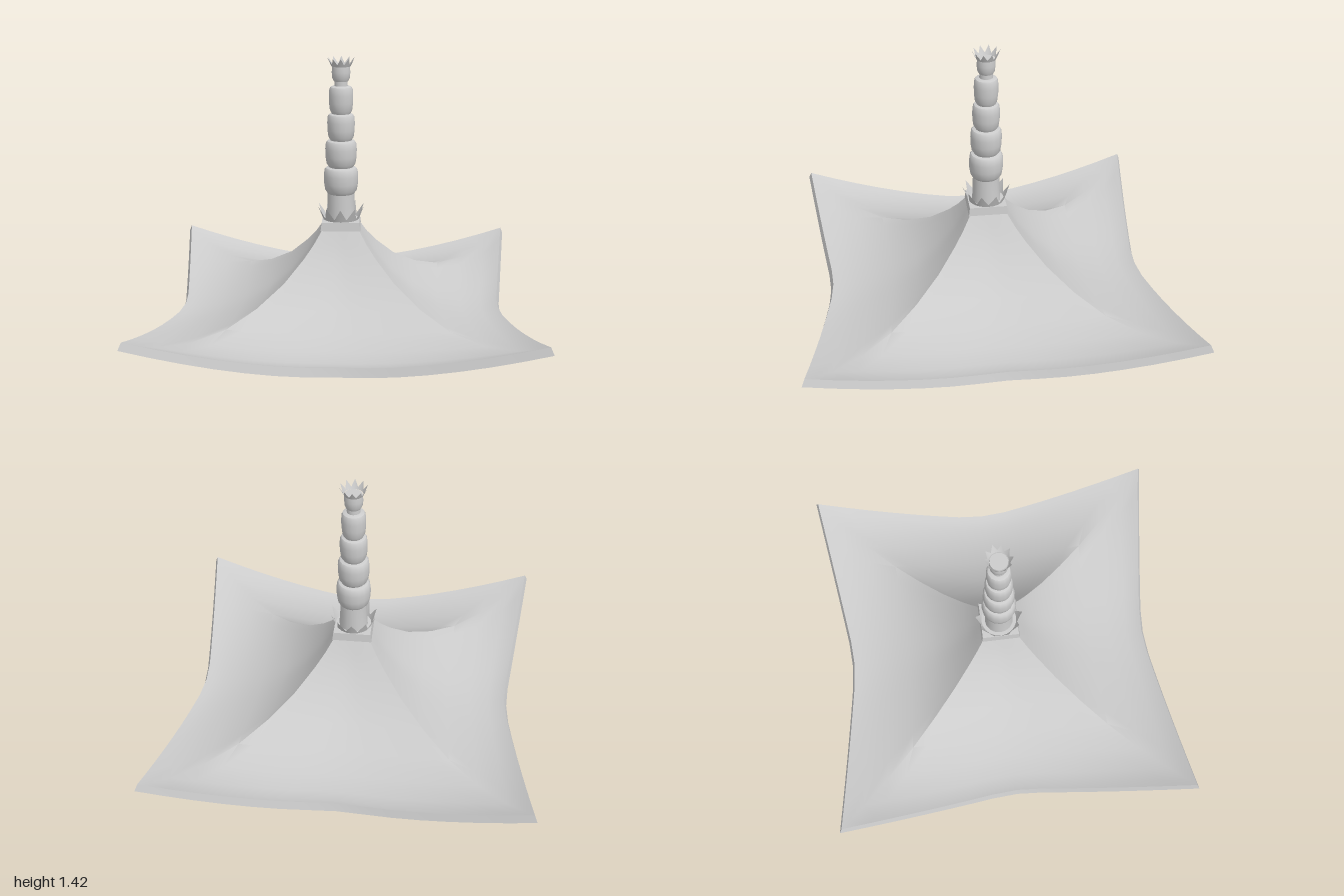
import * as THREE from 'three';
import { toCreasedNormals } from 'three/addons/utils/BufferGeometryUtils.js';

const grey = new THREE.MeshStandardMaterial({ color: 0xcccccc });
const thin = new THREE.MeshStandardMaterial({ color: 0xcccccc, side: THREE.DoubleSide });

function part(name, geometry, material = grey) {
  const mesh = new THREE.Mesh(geometry, material);
  mesh.name = name;
  return mesh;
}

function indexed(positions, index, crease) {
  const g = new THREE.BufferGeometry();
  g.setAttribute('position', new THREE.Float32BufferAttribute(positions, 3));
  g.setIndex(index);
  return toCreasedNormals(g, crease);
}

// Square rings: corner half-width, corner height, mid-side half-width, mid-side height
const top = [
  [0, 0.51, 0, 0.51], [0.1, 0.51, 0.1, 0.51], [0.14, 0.445, 0.135, 0.445],
  [0.19, 0.38, 0.18, 0.375], [0.29, 0.275, 0.27, 0.265], [0.42, 0.185, 0.39, 0.165],
  [0.56, 0.125, 0.53, 0.095], [0.72, 0.115, 0.66, 0.055], [0.86, 0.15, 0.77, 0.042],
  [0.94, 0.195, 0.83, 0.048], [0.985, 0.225, 0.86, 0.058],
];
const under = [
  [1, 0.19, 0.875, 0.015], [0.95, 0.165, 0.84, 0.006], [0.86, 0.115, 0.77, 0.005],
  [0.72, 0.08, 0.66, 0.02], [0.56, 0.09, 0.53, 0.06], [0.42, 0.15, 0.39, 0.13],
  [0.28, 0.245, 0.26, 0.235], [0.17, 0.355, 0.16, 0.35], [0.08, 0.47, 0.08, 0.47],
  [0, 0.49, 0, 0.49],
];

// Sweeping roof: every side bows inward and its corners turn up
function roofGeometry() {
  const rows = [...top, ...under], steps = 14, loop = steps * 4;
  const pos = [], index = [];
  for (const [c, yc, m, ym] of rows) {
    for (let k = 0; k < 4; k++) {
      for (let j = 0; j < steps; j++) {
        const t = -1 + 2 * j / steps;
        const w = Math.max(0, (Math.abs(t) - 0.07) / 0.93);
        let x = t * c, z = m + (c - m) * w;
        for (let q = 0; q < k; q++) [x, z] = [z, -x];
        pos.push(x, ym + (yc - ym) * Math.pow(w, 1.6), z);
      }
    }
  }
  for (let i = 0; i < rows.length - 1; i++) {
    for (let j = 0; j < loop; j++) {
      const n = (j + 1) % loop;
      const a = i * loop + j, b = a + loop, c = (i + 1) * loop + n, d = i * loop + n;
      index.push(a, b, c, a, c, d);
    }
  }
  return indexed(pos, index, 0.7);
}

// Flared ring of pointed leaves
function crownGeometry(r0, r1, y0, yValley, yTip, count = 10) {
  const pos = [], index = [], n = count * 2;
  for (let i = 0; i < n; i++) {
    const a = i * Math.PI * 2 / n, tip = i % 2 === 0;
    const y = tip ? yTip : yValley;
    const r = r0 + (r1 - r0) * (y - y0) / (yTip - y0);
    pos.push(r0 * Math.sin(a), y0, r0 * Math.cos(a), r * Math.sin(a), y, r * Math.cos(a));
    const b = 2 * i, d = 2 * ((i + 1) % n);
    index.push(b, d, d + 1, b, d + 1, b + 1);
  }
  return indexed(pos, index, 0.7);
}

function lathe(points, sides = 16) {
  const g = new THREE.LatheGeometry(points.map(p => new THREE.Vector2(...p)), sides);
  return toCreasedNormals(g, 0.65);
}

export function createModel() {
  const model = new THREE.Group();
  model.name = 'roofWithSpire';
  model.add(part('roof', roofGeometry()));

  // Square collar with a chamfered upper edge
  const collar = new THREE.CylinderGeometry(0.1 * Math.SQRT2, 0.106 * Math.SQRT2, 0.045, 4, 1);
  collar.rotateY(Math.PI / 4).translate(0, 0.5325, 0);
  model.add(part('collar', toCreasedNormals(collar, 0.5)));
  model.add(part('lowerCrown', crownGeometry(0.095, 0.128, 0.55, 0.568, 0.63), thin));

  // Spire of stacked, tapering bulbs
  const spire = new THREE.Group();
  spire.name = 'spire';
  spire.add(part('spireBase', lathe([[0.078, 0.55], [0.073, 0.63], [0.072, 0.71]])));
  const bulbs = [[0.695, 0.835, 0.092], [0.84, 0.98, 0.084], [0.985, 1.122, 0.073], [1.127, 1.268, 0.064]];
  for (const [y0, y1, r] of bulbs) {
    const h = y1 - y0;
    spire.add(part('bulb', lathe([
      [0, y0], [r * 0.78, y0], [r * 0.92, y0 + h * 0.13], [r * 0.99, y0 + h * 0.4],
      [r, y0 + h * 0.7], [r * 0.96, y0 + h * 0.93], [r * 0.88, y1], [r * 0.65, y1 + 0.006], [0, y1 + 0.006],
    ])));
  }
  spire.add(part('neck', lathe([[0.036, 1.265], [0.034, 1.305]])));
  spire.add(part('cup', lathe([
    [0, 1.298], [0.038, 1.298], [0.046, 1.315], [0.049, 1.345], [0.046, 1.378], [0, 1.378],
  ])));
  spire.add(part('upperCrown', crownGeometry(0.05, 0.073, 1.376, 1.387, 1.422), thin));
  model.add(spire);
  return model;
}
